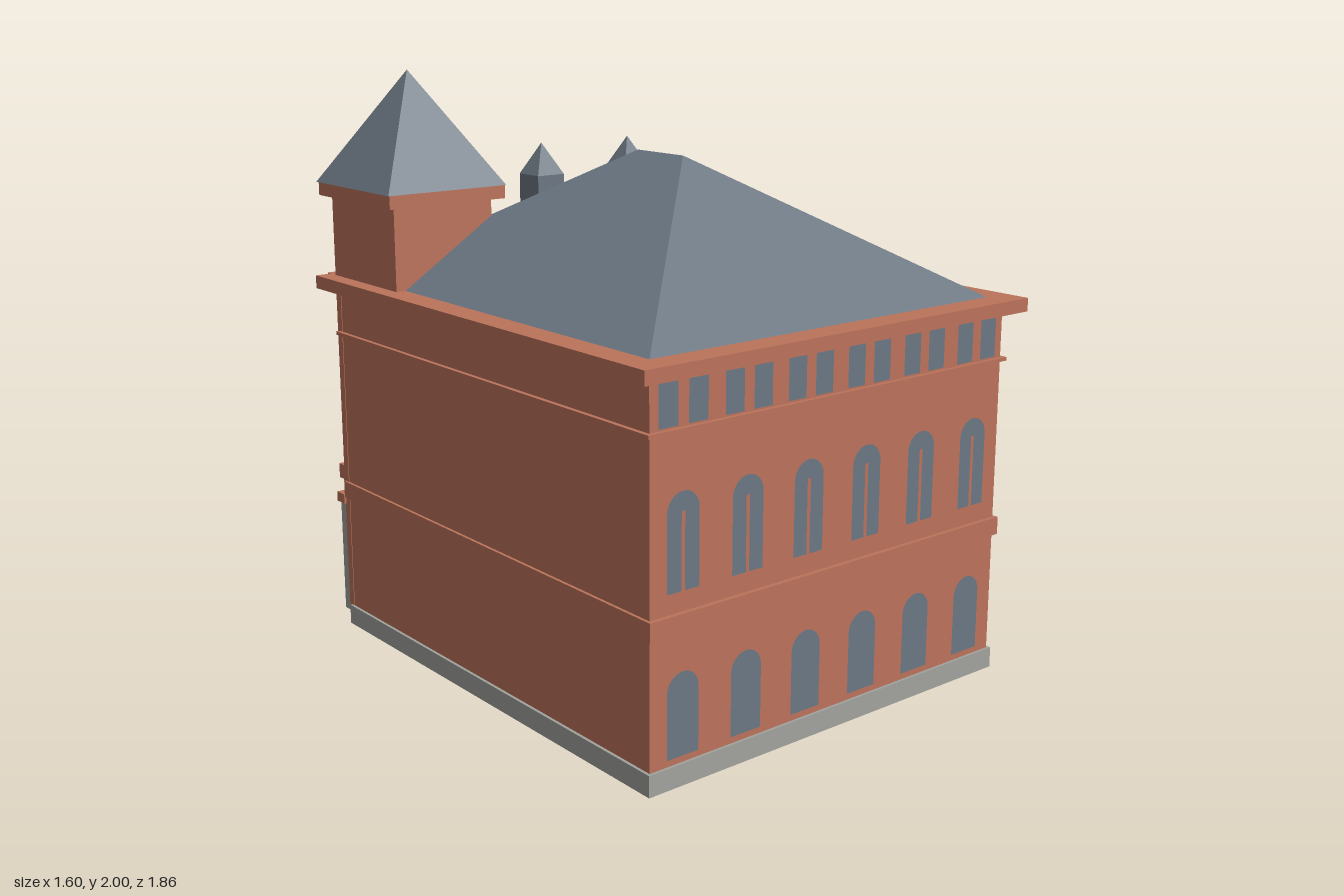
import * as THREE from 'three';

export function createModel() {
  const model = new THREE.Group();
  const mat = (name, color, side = THREE.FrontSide) => {
    const m = new THREE.MeshStandardMaterial({ color, side });
    m.name = name;
    return m;
  };
  const brick = mat('brick', 0xbc735b);
  const slate = mat('slate', 0x6c7783, THREE.DoubleSide); // roof and window panes
  const stone = mat('stone', 0xa2a29d);
  const wood = mat('wood', 0x7d6149);

  const add = (name, geo, material, parent = model) => {
    const mesh = new THREE.Mesh(geo, material);
    mesh.name = name;
    parent.add(mesh);
    return mesh;
  };

  // Box given by its limits on each axis
  const boxGeo = ([x0, x1], [y0, y1], [z0, z1]) =>
    new THREE.BoxGeometry(x1 - x0, y1 - y0, z1 - z0)
      .translate((x0 + x1) / 2, (y0 + y1) / 2, (z0 + z1) / 2);
  const block = (name, material, x, y, z) => add(name, boxGeo(x, y, z), material);

  // Rectangular frame of thickness t, open above and below
  const ring = (name, material, [x0, x1], [y0, y1], [z0, z1], t) => {
    const corners = (d) => [
      new THREE.Vector2(x0 + d, -z1 + d), new THREE.Vector2(x1 - d, -z1 + d),
      new THREE.Vector2(x1 - d, -z0 - d), new THREE.Vector2(x0 + d, -z0 - d)];
    const shape = new THREE.Shape(corners(0));
    shape.holes.push(new THREE.Path(corners(t)));
    const geo = new THREE.ExtrudeGeometry(shape, { depth: y1 - y0, bevelEnabled: false });
    return add(name, geo.rotateX(-Math.PI / 2).translate(0, y0, 0), material);
  };

  // Box whose top is drawn together into a ridge along z (or a point)
  const hipped = (name, x, y, z, r0, r1, open = false) => {
    const geo = boxGeo(x, y, z);
    const p = geo.attributes.position;
    const zMid = (z[0] + z[1]) / 2, yMid = (y[0] + y[1]) / 2;
    for (let i = 0; i < p.count; i++) {
      if (p.getY(i) > yMid) p.setXYZ(i, (x[0] + x[1]) / 2, y[1], p.getZ(i) < zMid ? r0 : r1);
    }
    if (open) { // leave out the underside
      const index = Array.from(geo.index.array);
      index.splice(18, 6);
      geo.setIndex(index);
      geo.clearGroups();
    }
    geo.computeVertexNormals();
    return add(name, geo, slate);
  };

  // Hollow main building, with bands running round all sides
  ring('mainWalls', brick, [-0.74, 0.74], [0, 1.27], [-0.845, 0.87], 0.015);
  ring('plinth', stone, [-0.75, 0.75], [0.002, 0.072], [-0.855, 0.88], 0.016);
  ring('floorBand', brick, [-0.75, 0.75], [0.482, 0.542], [-0.86, 0.885], 0.02);
  ring('atticBand', brick, [-0.755, 0.755], [1.08, 1.092], [-0.86, 0.885], 0.02);
  ring('cornice', brick, [-0.8, 0.8], [1.245, 1.29], [-0.905, 0.925], 0.095);
  hipped('mainRoof', [-0.715, 0.715], [1.285, 1.74], [-0.825, 0.838], -0.105, 0.13, true);

  // Roof turrets
  for (const x of [-0.065, 0.322]) {
    block('turret', slate, [x - 0.056, x + 0.056], [1.42, 1.62], [-0.63, -0.517]);
    hipped('turretRoof', [x - 0.056, x + 0.056], [1.62, 1.73], [-0.63, -0.517], -0.574, -0.574);
  }

  // Corner tower: a shallow projection below, a full square above the roof
  block('towerFront', brick, [-0.742, -0.36], [0, 1.3], [-0.87, -0.84]);
  ring('towerWalls', brick, [-0.742, -0.36], [1.285, 1.59], [-0.87, -0.458], 0.015);
  block('towerCornice', brick, [-0.74, -0.337], [1.245, 1.29], [-0.93, -0.85]);
  block('towerCap', brick, [-0.775, -0.325], [1.57, 1.615], [-0.9, -0.425]);
  hipped('towerRoof', [-0.78, -0.32], [1.615, 2], [-0.908, -0.423], -0.665, -0.665);

  // Tower porch
  block('porchFrieze', brick, [-0.74, -0.36], [0.49, 0.545], [-0.878, -0.86]);
  block('porchLintel', brick, [-0.742, -0.358], [0.545, 0.597], [-0.905, -0.86]);
  for (const x of [-0.717, -0.388]) {
    block('porchColumn', stone, [x - 0.023, x + 0.023], [0.045, 0.455], [-0.907, -0.865]);
    block('columnCapital', brick, [x - 0.033, x + 0.033], [0.455, 0.49], [-0.915, -0.865]);
  }

  // Facades: flat panes just off a wall, local z pointing outward
  const facade = (name, x, z, turn) => {
    const g = new THREE.Group();
    g.name = name;
    g.position.set(x, 0, z);
    g.rotation.y = turn;
    model.add(g);
    return g;
  };
  const plate = (name, shape, material, wall, x) =>
    add(name, new THREE.ShapeGeometry(shape, 14), material, wall).position.set(x, 0, 0.002);
  const rect = (w, y0, y1) => new THREE.Shape([
    new THREE.Vector2(-w / 2, y0), new THREE.Vector2(w / 2, y0),
    new THREE.Vector2(w / 2, y1), new THREE.Vector2(-w / 2, y1)]);
  // Round-headed pane, optionally split by a bar up to the spring of the arch
  const arch = (w, y0, spring, bar = 0) => {
    const s = new THREE.Shape();
    s.moveTo(-w / 2, y0);
    if (bar) {
      s.lineTo(-bar / 2, y0);
      s.lineTo(-bar / 2, spring);
      s.lineTo(bar / 2, spring);
      s.lineTo(bar / 2, y0);
    }
    s.lineTo(w / 2, y0);
    s.lineTo(w / 2, spring);
    s.absarc(0, spring, w / 2, 0, Math.PI, false);
    return s;
  };

  // One column of openings: ground floor, upper floor, attic pair
  const bay = (wall, x, w, hasDoor, bar) => {
    plate('groundWindow', arch(w, hasDoor ? 0.23 : 0.093, 0.298), slate, wall, x);
    if (hasDoor) plate('door', rect(w, 0.075, 0.23), wood, wall, x);
    plate('upperWindow', arch(w, 0.605, 0.845, bar), slate, wall, x);
    for (const s of [-1, 1]) {
      plate('atticWindow', rect(w * 0.6, 1.098, 1.228), slate, wall, x + s * w * 0.46);
    }
  };

  const front = facade('frontFacade', 0, 0.87, 0);
  for (let i = 0; i < 6; i++) bay(front, (i - 2.5) * 0.247, 0.12, false, 0.013);

  const side = facade('sideFacade', 0.74, 0, Math.PI / 2);
  for (let i = 0; i < 7; i++) bay(side, -0.75 + i * 0.245, 0.12, i === 1 || i === 5, 0.013);

  const back = facade('backFacade', 0, -0.845, Math.PI);
  for (let i = 0; i < 3; i++) bay(back, -0.557 + i * 0.367, 0.178, true, 0.02);

  // Tower openings
  const tower = facade('towerFacade', -0.55, -0.87, Math.PI);
  plate('towerDoor', rect(0.19, 0.06, 0.245), wood, tower, 0);
  plate('towerFanlight', arch(0.19, 0.245, 0.325), slate, tower, 0);
  plate('towerWindow', arch(0.19, 0.605, 0.945, 0.02), slate, tower, 0);
  plate('towerAtticWindow', rect(0.17, 1.1, 1.225), slate, tower, 0);
  plate('towerTopWindow', rect(0.13, 1.31, 1.41), slate, tower, 0);
  plate('towerRoundel', new THREE.Shape().absarc(0, 1.49, 0.057, 0, Math.PI * 2, false), stone, tower, 0);

  return model;
}
